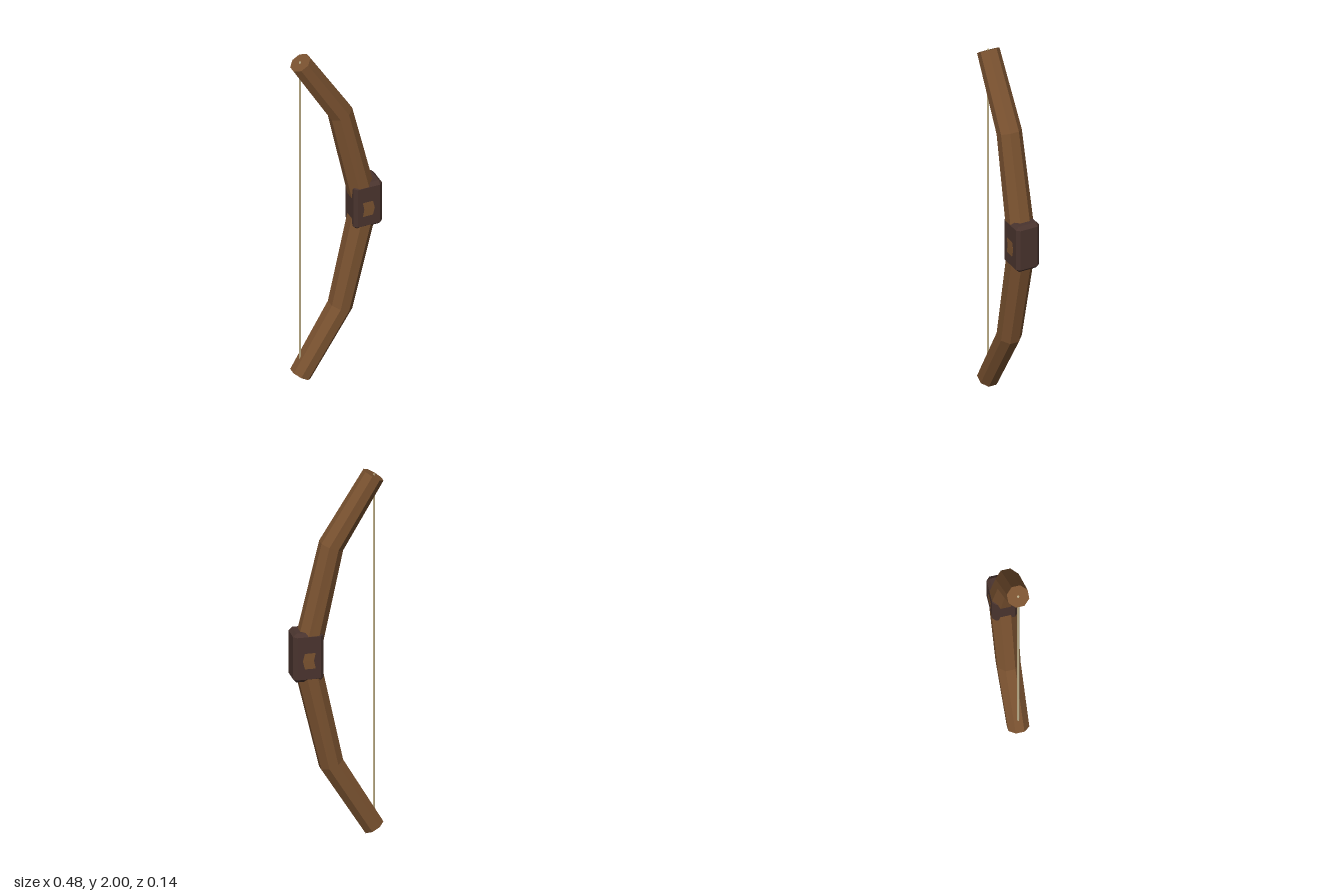
import * as THREE from 'three';
import { ConvexGeometry } from 'three/addons/geometries/ConvexGeometry.js';

const SIDES = 8;

// Octagonal rod swept along stations [x, y, apothem], mitred at each bend
function sweptRod(stations) {
  const pts = stations.map(([x, y]) => new THREE.Vector2(x, y));
  const last = pts.length - 1;
  const dir = i => pts[i + 1].clone().sub(pts[i]).normalize();
  const pos = [], index = [];
  pts.forEach((p, i) => {
    const before = dir(Math.max(i - 1, 0)), after = dir(Math.min(i, last - 1));
    const t = before.clone().add(after).normalize();
    const mitre = 1 / t.dot(after);
    const r = stations[i][2] / Math.cos(Math.PI / SIDES);
    for (let j = 0; j < SIDES; j++) {
      const a = (j + 0.5) / SIDES * Math.PI * 2;
      const s = r * mitre * Math.cos(a);
      pos.push(p.x + t.y * s, p.y - t.x * s, r * Math.sin(a));
    }
  });
  for (let i = 0; i < last; i++) {
    for (let j = 0; j < SIDES; j++) {
      const k = (j + 1) % SIDES;
      const a = i * SIDES + j, b = i * SIDES + k;
      index.push(a, a + SIDES, b, b, a + SIDES, b + SIDES);
    }
  }
  // End caps
  const top = last * SIDES;
  for (let j = 1; j < SIDES - 1; j++) {
    index.push(0, j, j + 1, top, top + j + 1, top + j);
  }
  const g = new THREE.BufferGeometry();
  g.setAttribute('position', new THREE.Float32BufferAttribute(pos, 3));
  g.setIndex(index);
  const flat = g.toNonIndexed();
  flat.computeVertexNormals();
  return flat;
}

// Box with all edges cut off at 45 degrees
function chamferedBox(w, h, d, c) {
  const pts = [], half = [w / 2, h / 2, d / 2];
  for (const sx of [-1, 1]) for (const sy of [-1, 1]) for (const sz of [-1, 1]) {
    for (let full = 0; full < 3; full++) {
      const v = half.map((s, axis) => (axis === full ? s : s - c));
      pts.push(new THREE.Vector3(v[0] * sx, v[1] * sy, v[2] * sz));
    }
  }
  return new ConvexGeometry(pts);
}

export function createModel() {
  const material = (name, color) => {
    const m = new THREE.MeshStandardMaterial({ color, flatShading: true });
    m.name = name;
    return m;
  };
  const wood = material('wood', 0x7a5230);
  const leather = material('leather', 0x4a342e);
  const cord = material('cord', 0xbfb08a);

  const group = new THREE.Group();
  group.name = 'bow';
  const add = (name, geometry, mat, x = 0, y = 0) => {
    const mesh = new THREE.Mesh(geometry, mat);
    mesh.name = name;
    mesh.position.set(x, y, 0);
    group.add(mesh);
    return mesh;
  };

  // Bent stave, thickest in the middle
  const upper = [[0.163, 1, 0.068], [0.027, 1.603, 0.061], [-0.197, 1.973, 0.055]];
  const lower = upper.slice(1).reverse().map(([x, y, r]) => [x, 2 - y, r]);
  add('stave', sweptRod([...lower, ...upper]), wood);

  // Wrapped grip
  add('grip', chamferedBox(0.16, 0.27, 0.135, 0.018), leather, 0.16, 1.016);

  // String between the tips
  add('string', new THREE.CylinderGeometry(0.006, 0.006, 1.956, 6), cord, -0.199, 1);

  return group;
}
